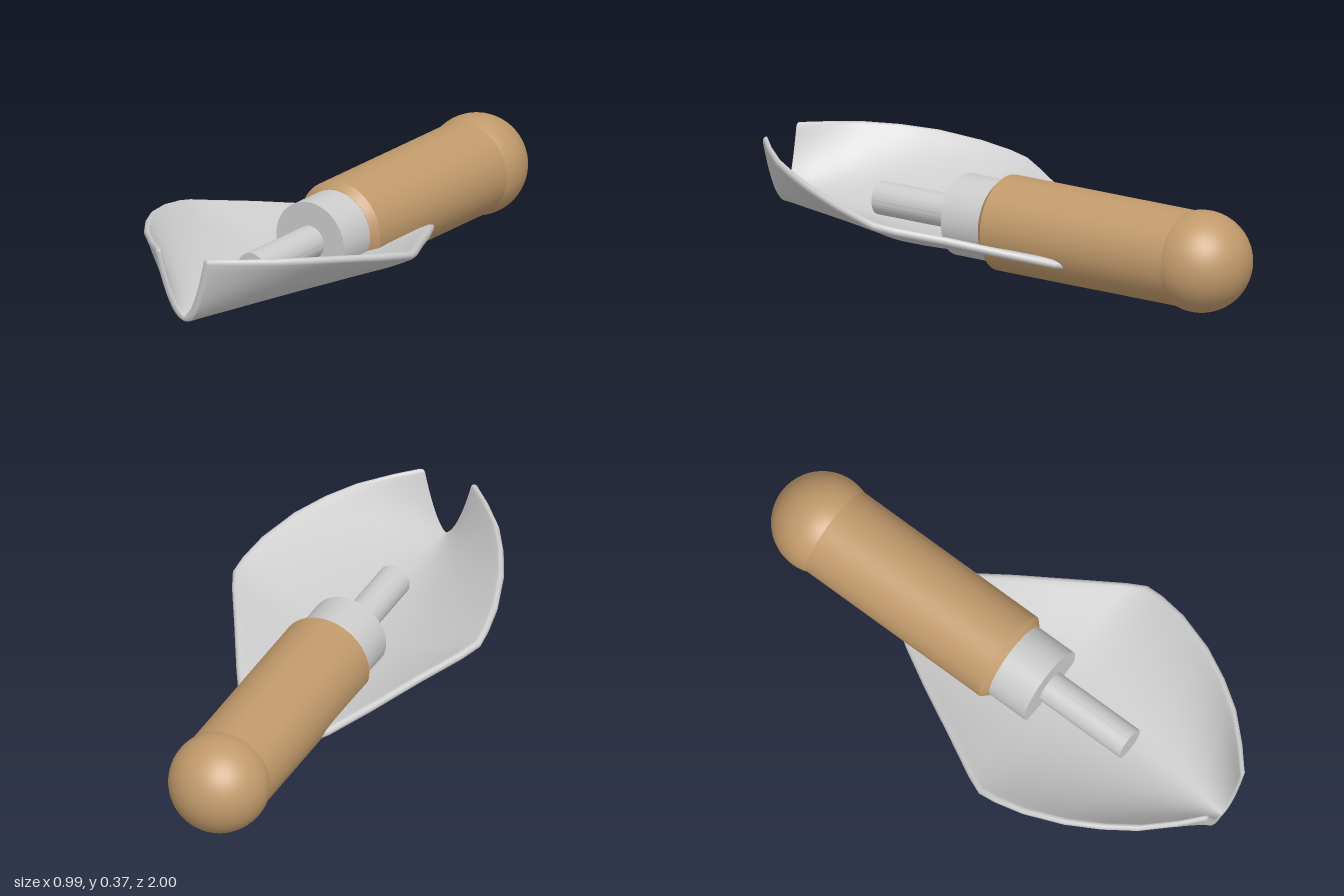
import * as THREE from 'three';
import { toCreasedNormals } from 'three/addons/utils/BufferGeometryUtils.js';

const AXIS_Y = 0.188;

// Turned part along z: profile of [radius, z], z ascending
function turned(name, profile, material) {
  const pts = profile.map(([r, z]) => new THREE.Vector2(r, z));
  const geo = new THREE.LatheGeometry(pts, 64).rotateX(Math.PI / 2);
  const mesh = new THREE.Mesh(toCreasedNormals(geo, 0.6), material);
  mesh.position.y = AXIS_Y;
  mesh.name = name;
  return mesh;
}

// Blade stations: z, half width, rim height, keel height
const STATIONS = [
  [-0.36, 0.14, 0.118, 0.104],
  [-0.3, 0.18, 0.138, 0.1],
  [-0.15, 0.27, 0.172, 0.094],
  [0.04, 0.375, 0.215, 0.088],
  [0.2, 0.465, 0.247, 0.084],
  [0.27, 0.497, 0.263, 0.084],
  [0.34, 0.494, 0.28, 0.084],
  [0.45, 0.475, 0.302, 0.086],
  [0.6, 0.424, 0.328, 0.091],
  [0.72, 0.362, 0.343, 0.096],
  [0.82, 0.29, 0.353, 0.1],
  [0.91, 0.197, 0.36, 0.104],
  [0.975, 0.122, 0.365, 0.107],
];
const HALF_THICK = 0.015;

// Closed cross-section of the curved sheet, with rounded rims
function section([z, width, rim, keel], half, dip) {
  const N = 32, CAP = 5, out = [];
  const w = width - HALF_THICK, y0 = keel + HALF_THICK;
  const h = Math.max(rim - 0.01 - y0, 0.005);
  const power = 2 - 0.3 * Math.min(1, w / 0.48);
  const add = (u, angle) => {
    const a = Math.abs(u);
    const slope = Math.sign(u) * h * power * Math.pow(a, power - 1) / w;
    const len = Math.hypot(1, slope);
    const t = [1 / len, slope / len];
    const c = Math.cos(angle) * half, s = Math.sin(angle) * half;
    out.push(w * u + t[0] * c - t[1] * s, y0 + h * Math.pow(a, power) + t[1] * c + t[0] * s, z + dip * a);
  };
  for (let i = 0; i <= N; i++) add(-1 + 2 * i / N, -Math.PI / 2);
  for (let i = 1; i < CAP; i++) add(1, -Math.PI / 2 + Math.PI * i / CAP);
  for (let i = 0; i <= N; i++) add(1 - 2 * i / N, Math.PI / 2);
  for (let i = 1; i < CAP; i++) add(-1, Math.PI / 2 + Math.PI * i / CAP);
  return out;
}

function bladeGeometry() {
  const first = STATIONS[0], last = STATIONS[STATIONS.length - 1];
  const rings = [];
  const shift = (st, dz) => [st[0] + dz, st[1], st[2], st[3]];
  // Rounded back edge, body, then rounded front edge
  for (const a of [0, 0.4, 0.9]) rings.push(section(shift(first, -HALF_THICK * Math.cos(a)), HALF_THICK * Math.sin(a), 0));
  for (const st of STATIONS) {
    const dip = 0.02 * THREE.MathUtils.smoothstep(st[0], 0.7, 0.97);
    rings.push(section(st, HALF_THICK, dip));
  }
  for (const a of [0.9, 0.4, 0]) rings.push(section(shift(last, HALF_THICK * 0.5 * Math.cos(a)), HALF_THICK * Math.sin(a), 0.02));

  const count = rings[0].length / 3, index = [];
  for (let j = 0; j < rings.length - 1; j++) {
    for (let k = 0; k < count; k++) {
      const k2 = (k + 1) % count;
      const a = j * count + k, b = j * count + k2;
      index.push(a, b, a + count, b, b + count, a + count);
    }
  }
  const geo = new THREE.BufferGeometry();
  geo.setAttribute('position', new THREE.Float32BufferAttribute(rings.flat(), 3));
  geo.setIndex(index);
  geo.computeVertexNormals();
  return geo;
}

export function createModel() {
  const group = new THREE.Group();
  group.name = 'gardenTrowel';
  const metal = new THREE.MeshStandardMaterial({ color: 0xcccccc });
  const wood = new THREE.MeshStandardMaterial({ color: 0xc19a6b });

  // Scooped blade
  const blade = new THREE.Mesh(bladeGeometry(), metal);
  blade.name = 'blade';
  group.add(blade);

  // Shank and collar
  group.add(turned('shank', [[0, 0.15], [0.061, 0.15], [0.061, 0.57], [0, 0.57]], metal));
  group.add(turned('collar', [[0, 0], [0.149, 0], [0.149, 0.21], [0, 0.21]], metal));

  // Wooden grip with chamfered front edge
  group.add(turned('handle', [[0, -0.8], [0.175, -0.8], [0.175, 0.025], [0.15, 0.05], [0, 0.05]], wood));

  // Rounded pommel
  const pommel = new THREE.Mesh(new THREE.SphereGeometry(0.185, 48, 32), wood);
  pommel.name = 'pommel';
  pommel.position.set(0, AXIS_Y, -0.815);
  group.add(pommel);

  return group;
}
